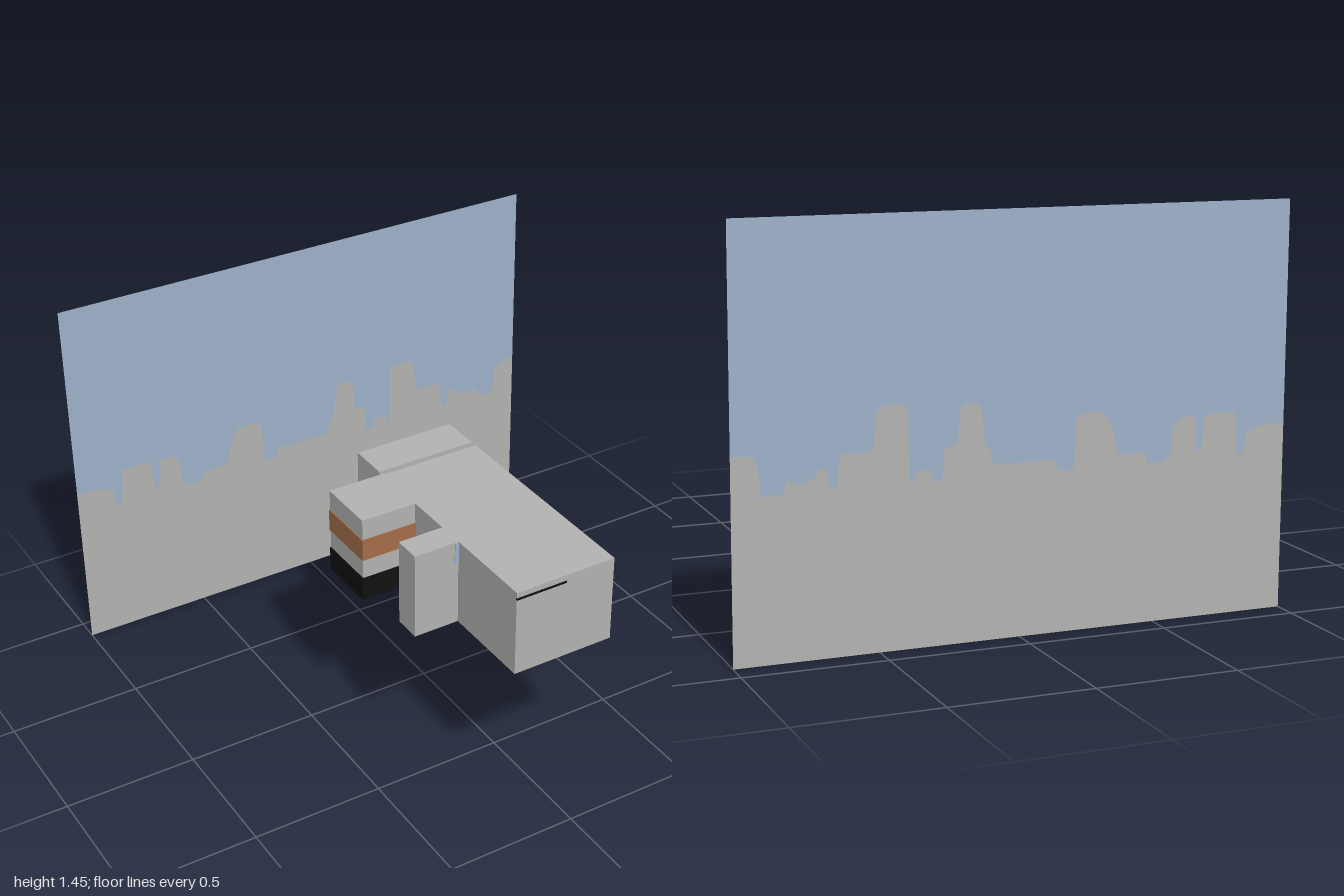
import * as THREE from 'three';

const material = (name, color, side = THREE.FrontSide) => {
  const m = new THREE.MeshStandardMaterial({ color, side });
  m.name = name;
  return m;
};

// City skyline as x, y points from left to right
const SKYLINE = [
  [-1, 0.665], [-0.9, 0.66], [-0.85, 0.635], [-0.845, 0.56], [-0.82, 0.57], [-0.805, 0.715],
  [-0.69, 0.715], [-0.675, 0.59], [-0.655, 0.59], [-0.65, 0.71], [-0.59, 0.71], [-0.565, 0.67],
  [-0.56, 0.59], [-0.53, 0.56], [-0.47, 0.56], [-0.46, 0.6], [-0.36, 0.6], [-0.345, 0.66],
  [-0.33, 0.71], [-0.3, 0.75], [-0.23, 0.75], [-0.2, 0.73], [-0.195, 0.56], [-0.135, 0.56],
  [-0.13, 0.6], [0.1, 0.6], [0.11, 0.65], [0.13, 0.67], [0.14, 0.78], [0.155, 0.81],
  [0.2, 0.81], [0.22, 0.79], [0.225, 0.68], [0.275, 0.665], [0.28, 0.56], [0.315, 0.56],
  [0.32, 0.6], [0.37, 0.6], [0.38, 0.56], [0.395, 0.56], [0.4, 0.81], [0.42, 0.825],
  [0.49, 0.825], [0.51, 0.8], [0.52, 0.69], [0.545, 0.675], [0.635, 0.675], [0.645, 0.56],
  [0.67, 0.57], [0.685, 0.635], [0.71, 0.625], [0.725, 0.6], [0.78, 0.585], [0.815, 0.605],
  [0.825, 0.56], [0.9, 0.555], [0.91, 0.66], [0.93, 0.69], [1, 0.695],
];

export function createModel() {
  const model = new THREE.Group();
  const sky = material('sky blue', 0x9db1c9, THREE.DoubleSide);
  const city = material('city grey', 0xb3b3b1, THREE.DoubleSide);
  const concrete = material('concrete grey', 0xb3b3b1);
  const brown = material('brown', 0xa46e49);
  const black = material('black', 0x101010);

  // Box from its limits on each axis
  const block = (name, mat, [x0, x1], [y0, y1], [z0, z1]) => {
    const mesh = new THREE.Mesh(new THREE.BoxGeometry(x1 - x0, y1 - y0, z1 - z0), mat);
    mesh.position.set((x0 + x1) / 2, (y0 + y1) / 2, (z0 + z1) / 2);
    mesh.name = name;
    model.add(mesh);
  };

  // Backdrop: sky above and city below one shared skyline
  const line = SKYLINE.map(([x, y]) => new THREE.Vector2(x, y));
  const backdrop = (name, mat, y) => {
    const shape = new THREE.Shape([...line, new THREE.Vector2(1, y), new THREE.Vector2(-1, y)]);
    const mesh = new THREE.Mesh(new THREE.ShapeGeometry(shape), mat);
    mesh.position.z = -0.91;
    mesh.name = name;
    model.add(mesh);
  };
  backdrop('backdropSky', sky, 1.445);
  backdrop('backdropCity', city, 0);

  // Building: main hall, rear block, recessed link and two side wings
  const B = 0.667, T = 1;
  block('mainHall', concrete, [-0.2, 0.195], [B, T], [0.045, 0.91]);
  block('rearBlock', concrete, [-0.2, 0.195], [B, T], [-0.135, 0.02]);
  block('link', concrete, [-0.145, 0.14], [B, 0.94], [0.015, 0.05]);
  block('rearWing', concrete, [-0.415, -0.19], [B, T], [0.038, 0.268]);
  block('frontWing', concrete, [-0.375, -0.19], [B, T], [0.447, 0.552]);

  // Bands around the rear wing
  block('wingBrownBand', brown, [-0.418, -0.195], [0.835, 0.92], [0.035, 0.271]);
  block('wingBlackBand', black, [-0.418, -0.195], [B, 0.76], [0.035, 0.271]);

  // Stripes and panels on the left wall
  const wall = [0.19, 0.198];
  for (const z of [0.555, 0.751]) block('wallStripe', brown, wall, [B, 0.976], [z - 0.027, z + 0.027]);
  block('upperPanel', brown, wall, [0.808, 0.915], [0.198, 0.378]);
  block('lowerPanel', brown, wall, [0.676, 0.764], [0.198, 0.378]);
  block('panelSill', black, wall, [B, 0.676], [0.198, 0.378]);

  // Small front details
  block('frontSlot', black, [-0.2, 0], [0.97, 0.978], [0.906, 0.912]);
  block('cornerPane', sky, [-0.215, -0.2], [0.915, 0.998], [0.549, 0.555]);

  return model;
}
